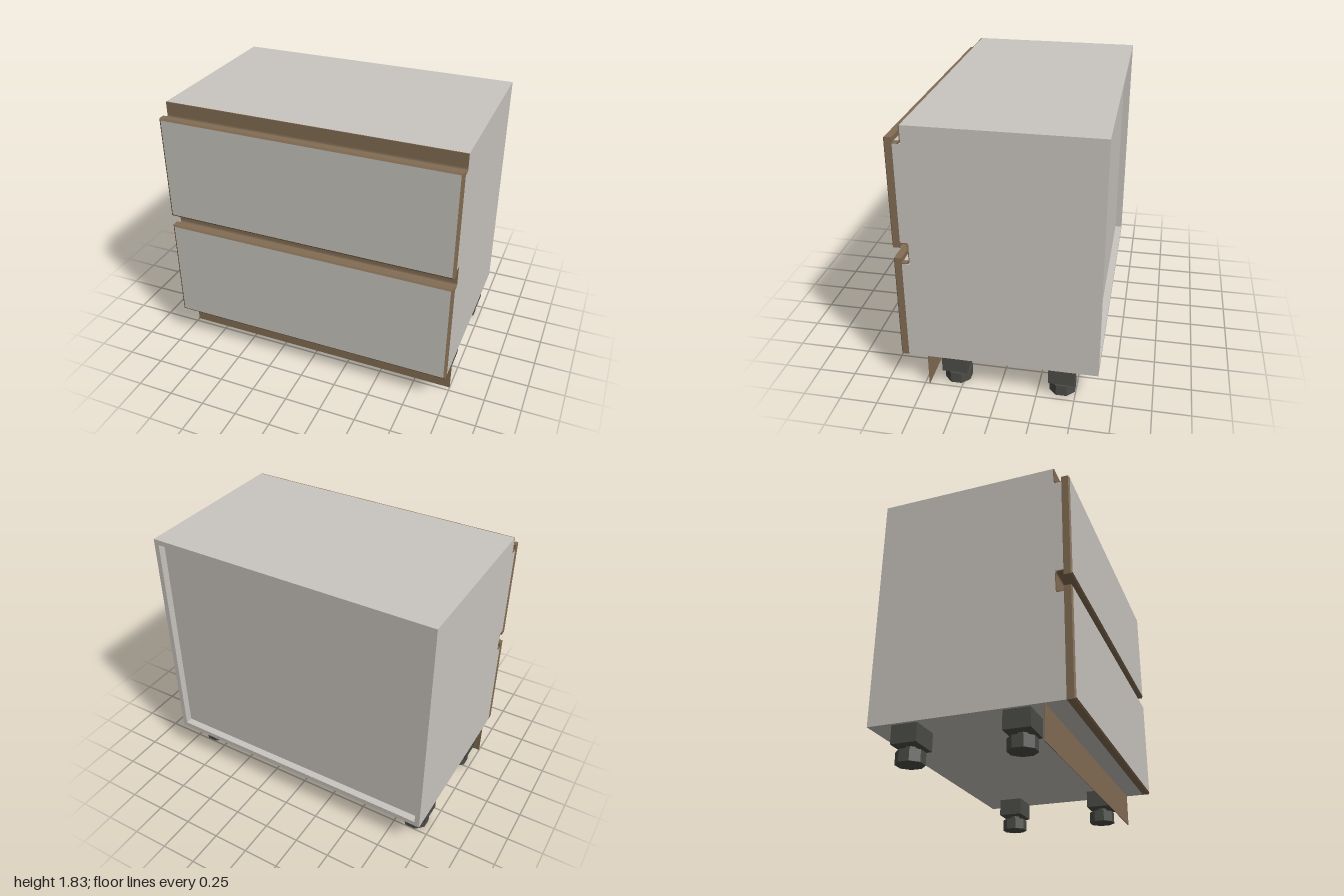
import * as THREE from 'three';

const mat = (name, color) => Object.assign(new THREE.MeshStandardMaterial({ color }), { name });

export function createModel() {
  const grey = mat('warm grey board', 0xc9c5bf);
  const brown = mat('bronze brown trim', 0x836d54);
  const dark = mat('dark plastic', 0x4c4d47);
  const model = new THREE.Group();
  model.name = 'drawerCabinet';

  const add = (name, geometry, material, parent = model) => {
    const mesh = new THREE.Mesh(geometry, material);
    mesh.name = name;
    parent.add(mesh);
    return mesh;
  };
  // Box given by its limits on each axis
  const box = (name, material, [x0, x1], [y0, y1], [z0, z1], parent) => {
    const g = new THREE.BoxGeometry(x1 - x0, y1 - y0, z1 - z0);
    g.translate((x0 + x1) / 2, (y0 + y1) / 2, (z0 + z1) / 2);
    return add(name, g, material, parent);
  };
  // Extrude a (z, y) outline along x
  const extrudeX = (shape, x0, x1) => {
    const g = new THREE.ExtrudeGeometry(shape, { depth: x1 - x0, bevelEnabled: false, curveSegments: 5 });
    return g.rotateY(-Math.PI / 2).translate(x1, 0, 0);
  };

  const T = 0.035, BACK = -0.65, FRONT = 0.597, RECESS = 0.545;
  const BOTTOM = 0.225, TOP = 1.83;
  const LIP_TOP = 1.72, LIP_LOW = 0.915, LIP_HIGH = 1.065, R = 0.022;

  // Side panels, notched for the handle channels
  const side = new THREE.Shape();
  side.moveTo(BACK, BOTTOM);
  side.lineTo(FRONT, BOTTOM);
  side.lineTo(FRONT, LIP_LOW);
  side.lineTo(RECESS, LIP_LOW);
  side.lineTo(RECESS, LIP_HIGH);
  side.lineTo(FRONT, LIP_HIGH);
  side.lineTo(FRONT, LIP_TOP - 0.005);
  side.lineTo(RECESS, LIP_TOP - 0.005);
  side.lineTo(RECESS, TOP - T);
  side.lineTo(BACK, TOP - T);
  add('rightSide', extrudeX(side, -1, -1 + T), grey);
  add('leftSide', extrudeX(side, 1 - T, 1), grey);

  // Top, bottom and recessed back
  box('topPanel', grey, [-1, 1], [TOP - T, TOP], [BACK, RECESS]);
  box('bottomPanel', grey, [-1 + T, 1 - T], [BOTTOM, BOTTOM + T], [BACK, FRONT]);
  box('backPanel', grey, [-1 + T, 1 - T], [BOTTOM + T, TOP - T], [BACK + 0.05, BACK + 0.065]);

  // Handle channels: thin rounded profiles along the full width
  const W = 0.006, A = RECESS, B = RECESS + W;
  const upper = new THREE.Shape();
  upper.moveTo(A, TOP);
  upper.lineTo(A, LIP_TOP + R);
  upper.quadraticCurveTo(A, LIP_TOP - W, A + R, LIP_TOP - W);
  upper.lineTo(FRONT, LIP_TOP - W);
  upper.lineTo(FRONT, LIP_TOP);
  upper.lineTo(B + R, LIP_TOP);
  upper.quadraticCurveTo(B, LIP_TOP, B, LIP_TOP + R);
  upper.lineTo(B, TOP);
  add('upperHandleChannel', extrudeX(upper, -1, 1), brown);

  const middle = new THREE.Shape();
  middle.moveTo(FRONT, LIP_HIGH);
  middle.lineTo(A + R, LIP_HIGH);
  middle.quadraticCurveTo(A, LIP_HIGH, A, LIP_HIGH - R);
  middle.lineTo(A, LIP_LOW + R);
  middle.quadraticCurveTo(A, LIP_LOW, A + R, LIP_LOW);
  middle.lineTo(FRONT, LIP_LOW);
  middle.lineTo(FRONT, LIP_LOW + W);
  middle.lineTo(B + R, LIP_LOW + W);
  middle.quadraticCurveTo(B, LIP_LOW + W, B, LIP_LOW + W + R);
  middle.lineTo(B, LIP_HIGH - W - R);
  middle.quadraticCurveTo(B, LIP_HIGH - W, B + R, LIP_HIGH - W);
  middle.lineTo(FRONT, LIP_HIGH - W);
  add('middleHandleChannel', extrudeX(middle, -1, 1), brown);

  // Pale strips lying in the channels behind the drawer fronts
  for (const y of [LIP_TOP, LIP_LOW + W])
    box('channelStrip', grey, [-1 + T, 1 - T], [y, y + 0.004], [0.562, 0.592]);

  // Drawer fronts: brown slabs with chamfered edges and a grey face
  const drawerFront = (name, y0, y1) => {
    const h = y1 - y0, c = 0.012;
    let g = new THREE.BoxGeometry(2, h, 0.053, 1, 1, 2);
    const p = g.attributes.position;
    for (let i = 0; i < p.count; i++) {
      if (Math.abs(p.getZ(i)) < 1e-6) p.setZ(i, 0.0265 - 0.008);
      else if (p.getZ(i) > 0) p.setXY(i, Math.sign(p.getX(i)) * (1 - c), Math.sign(p.getY(i)) * (h / 2 - c));
    }
    g = g.toNonIndexed();
    g.computeVertexNormals();
    g.translate(0, (y0 + y1) / 2, 0.6235);
    add(name, g, [brown, brown, brown, brown, grey, brown]);
  };
  drawerFront('lowerDrawerFront', BOTTOM, 0.952);
  drawerFront('upperDrawerFront', 1.028, 1.752);

  // Thin kick plate
  box('kickPlate', brown, [-1, 1], [0, BOTTOM], [0.467, 0.471]);

  // Levelling feet: block, stem and octagonal pad
  const octagon = (r, y0, y1) =>
    new THREE.CylinderGeometry(r, r, y1 - y0, 8).rotateY(Math.PI / 8).translate(0, (y0 + y1) / 2, 0).toNonIndexed();
  for (const x of [-0.875, 0.875]) {
    for (const z of [-0.41, 0.297]) {
      const foot = new THREE.Group();
      foot.name = 'foot';
      box('footBlock', dark, [-0.105, 0.105], [0.105, BOTTOM], [-0.085, 0.085], foot);
      for (const [name, r, y0, y1] of [['footStem', 0.041, 0.075, 0.11], ['footPad', 0.092, 0, 0.078]]) {
        const g = octagon(r, y0, y1);
        g.computeVertexNormals();
        add(name, g, dark, foot);
      }
      foot.position.set(x, 0, z);
      model.add(foot);
    }
  }
  return model;
}
